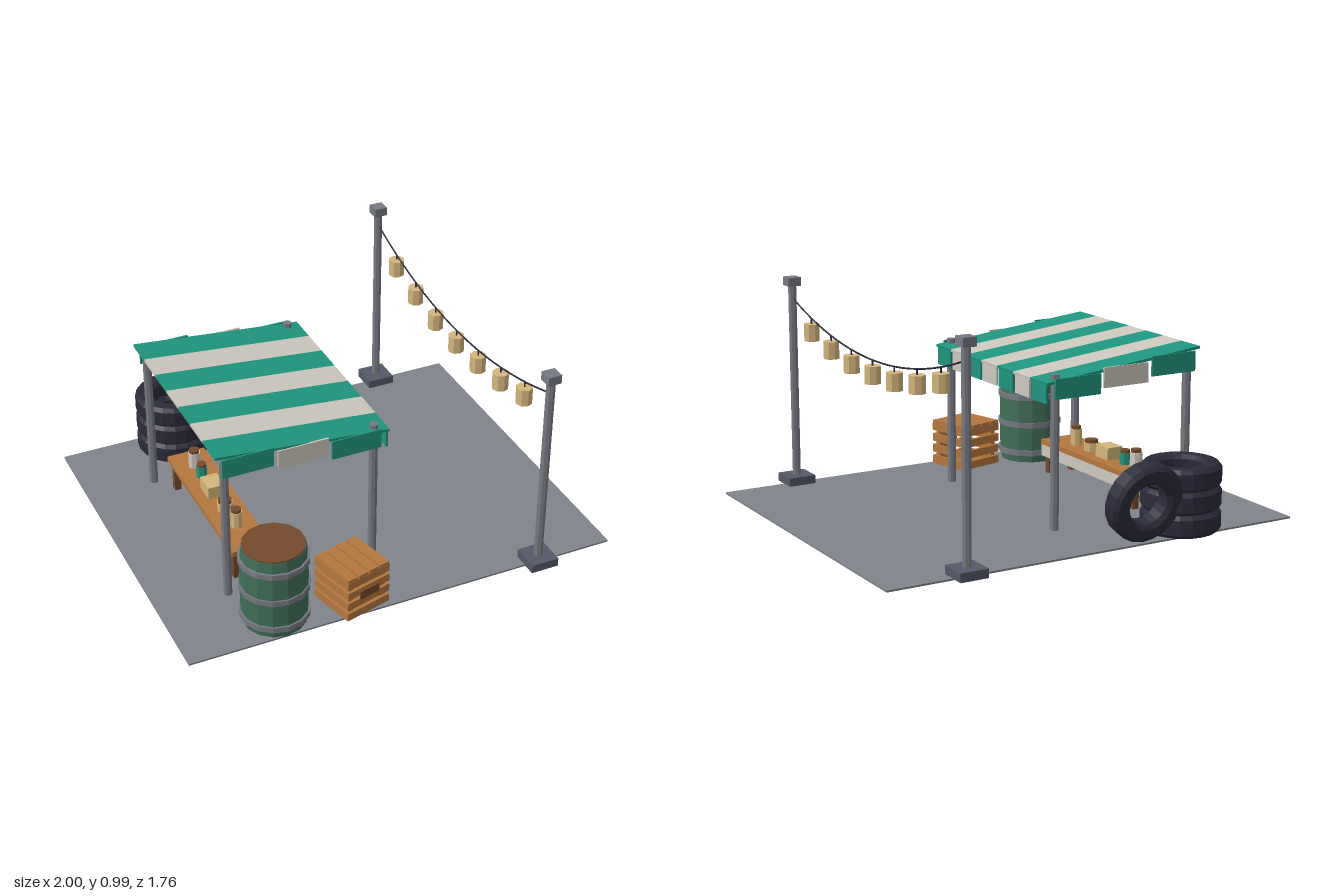
import * as THREE from 'three';

const mat = (name, color) => Object.assign(new THREE.MeshStandardMaterial({ color }), { name });
const M = {
  ground: mat('concrete', 0x80858b),
  teal: mat('teal', 0x1f9680),
  cream: mat('cream', 0xcec8be),
  wood: mat('lightWood', 0xb4773e),
  brown: mat('darkWood', 0x744a2b),
  rubber: mat('rubber', 0x2b2a3a),
  steel: mat('steel', 0x777a82),
  slate: mat('slate', 0x555968),
  tan: mat('lanternPaper', 0xd5b57c),
  barrel: mat('barrelGreen', 0x3f6f58),
};

// Faceted mesh: split the faces so each one has its own normal
function add(parent, name, geometry, material, x = 0, y = 0, z = 0) {
  const g = geometry.index ? geometry.toNonIndexed() : geometry;
  g.computeVertexNormals();
  const mesh = new THREE.Mesh(g, material);
  mesh.name = name;
  mesh.position.set(x, y, z);
  parent.add(mesh);
  return mesh;
}
function group(parent, name, x = 0, y = 0, z = 0) {
  const g = new THREE.Group();
  g.name = name;
  g.position.set(x, y, z);
  parent.add(g);
  return g;
}
const box = (w, h, d) => new THREE.BoxGeometry(w, h, d);
const cyl = (r, h, n = 8) => new THREE.CylinderGeometry(r, r, h, n);
const lathe = (pts, n) => new THREE.LatheGeometry(pts.map(([r, y]) => new THREE.Vector2(r, y)), n);

// Two lamp posts with a sagging string of paper lanterns
function addLanterns(root) {
  const g = group(root, 'lanternString', 0.64);
  const half = 0.815;
  const sag = z => 0.742 + 0.145 * (z / half) ** 2;
  for (const s of [-1, 1]) {
    add(g, 'postBase', box(0.13, 0.04, 0.13), M.slate, 0, 0.027, s * half);
    add(g, 'lampPost', cyl(0.02, 0.92), M.steel, 0, 0.495, s * half);
    add(g, 'postCap', box(0.062, 0.04, 0.062), M.steel, 0, 0.965, s * half);
  }
  const points = [];
  for (let i = 0; i <= 12; i++) {
    const z = half * (i / 6 - 1);
    points.push(new THREE.Vector3(0, sag(z), z));
  }
  add(g, 'rope', new THREE.TubeGeometry(new THREE.CatmullRomCurve3(points), 24, 0.004, 5), M.rubber);
  for (let i = -3; i <= 3; i++) {
    const z = i * 0.2035;
    add(g, 'lanternHook', cyl(0.004, 0.03, 5), M.rubber, 0, sag(z) - 0.013, z);
    add(g, 'lantern', cyl(0.037, 0.078), M.tan, 0, sag(z) - 0.063, z);
  }
}

// Sloping striped awning with hanging flaps on four posts
function addAwning(root) {
  const g = group(root, 'awning');
  for (const z of [-0.455, 0.455])
    for (const x of [-0.68, 0.005]) add(g, 'awningPost', cyl(0.02, 0.69), M.steel, x, 0.35, z);
  const pitch = 0.139;
  const slope = 0.101;
  for (let i = -3; i <= 3; i++) {
    const m = i % 2 ? M.teal : M.cream;
    const stripeMat = Math.abs(i) === 3 || Math.abs(i) === 1 ? M.teal : m;
    const stripe = add(g, 'roofStripe', box(0.796, 0.012, pitch), stripeMat, -0.331, 0.702, i * pitch);
    stripe.rotation.z = -slope;
    add(g, 'frontFlap', box(0.009, 0.092, 0.12), stripeMat, 0.058, 0.621, i * pitch);
  }
  for (const s of [-1, 1])
    [-0.585, -0.335, -0.09].forEach((x, i) => {
      add(g, 'sideFlap', box(0.23, 0.09, 0.009), i === 1 ? M.cream : M.teal, x, 0.684 - i * 0.0235, s * 0.488);
    });
}

// Low table with a cloth front and goods on top
function addTable(root) {
  const g = group(root, 'table', -0.54);
  add(g, 'tableTop', box(0.18, 0.024, 0.79), M.wood, 0, 0.156, 0);
  add(g, 'tableCloth', box(0.009, 0.056, 0.78), M.cream, 0.085, 0.117, 0);
  for (const z of [-0.357, 0.357])
    for (const x of [-0.062, 0.062]) add(g, 'tableLeg', box(0.03, 0.14, 0.03), M.brown, x, 0.077, z);
  const jars = [
    [0.222, 0.027, 0.092, M.tan],
    [0.09, 0.037, 0.055, M.tan],
    [-0.19, 0.026, 0.068, M.teal],
    [-0.278, 0.029, 0.09, M.cream],
  ];
  for (const [z, r, h, m] of jars) {
    add(g, 'jar', cyl(r, h - 0.015), m, 0, 0.168 + (h - 0.015) / 2, z);
    add(g, 'jarLid', cyl(r * 0.85, 0.016), M.brown, 0, 0.168 + h - 0.008, z);
  }
  add(g, 'parcel', box(0.08, 0.058, 0.1), M.tan, 0, 0.197, -0.057);
}

// Barrel with three hoops and a wooden lid
function addBarrel(root) {
  const g = group(root, 'barrel', -0.558, 0, 0.68);
  const body = [[0, 0.004], [0.138, 0.004], [0.145, 0.06], [0.148, 0.2], [0.145, 0.335], [0.138, 0.393], [0, 0.393]];
  add(g, 'barrelBody', lathe(body, 14), M.barrel);
  for (const y of [0.055, 0.195, 0.332]) add(g, 'barrelHoop', cyl(0.154, 0.026, 14), M.steel, 0, y, 0);
  add(g, 'barrelLid', cyl(0.136, 0.014, 14), M.brown, 0, 0.394, 0);
}

// Slatted crate, turned a little
function addCrate(root) {
  const g = group(root, 'crate', -0.213, 0.006, 0.71);
  g.rotation.y = 0.25;
  const h = 0.113;
  for (const x of [-1, 1])
    for (const z of [-1, 1]) add(g, 'cratePost', box(0.024, 0.2, 0.024), M.wood, x * 0.088, 0.1, z * 0.088);
  for (let i = 0; i < 4; i++) {
    const y = 0.026 + i * 0.054;
    for (const s of [-1, 1]) {
      add(g, 'crateSlat', box(0.226, 0.037, 0.013), M.wood, 0, y, s * (h - 0.0065));
      add(g, 'crateSlat', box(0.013, 0.037, 0.2), M.wood, s * (h - 0.0065), y, 0);
    }
    const x = (i - 1.5) * 0.057;
    add(g, 'crateTopSlat', box(0.05, 0.013, 0.224), M.wood, x, 0.213, 0);
    add(g, 'crateFloorSlat', box(0.05, 0.012, 0.2), M.wood, x, 0.008, 0);
  }
  add(g, 'cratePlate', box(0.1, 0.04, 0.008), M.brown, 0, 0.118, h + 0.004);
}

// Three stacked tyres and one leaning on the stack
function addTyres(root) {
  const g = group(root, 'tyres');
  const profile = [[0.094, -0.034], [0.115, -0.05], [0.16, -0.05], [0.176, -0.033], [0.176, 0.033],
    [0.16, 0.05], [0.115, 0.05], [0.094, 0.034], [0.094, -0.034]];
  for (let i = 0; i < 3; i++) add(g, 'stackedTyre', lathe(profile, 20), M.rubber, -0.48, 0.056 + i * 0.101, -0.707);
  const lean = add(g, 'leaningTyre', lathe(profile, 20), M.rubber, -0.225, 0.187, -0.8);
  lean.rotation.x = Math.PI / 2 - 0.2;
}

export function createModel() {
  const root = new THREE.Group();
  root.name = 'marketStall';
  add(root, 'groundSlab', box(2, 0.008, 1.63), M.ground, 0, 0.004, 0);
  addLanterns(root);
  addAwning(root);
  addTable(root);
  addBarrel(root);
  addCrate(root);
  addTyres(root);
  return root;
}
